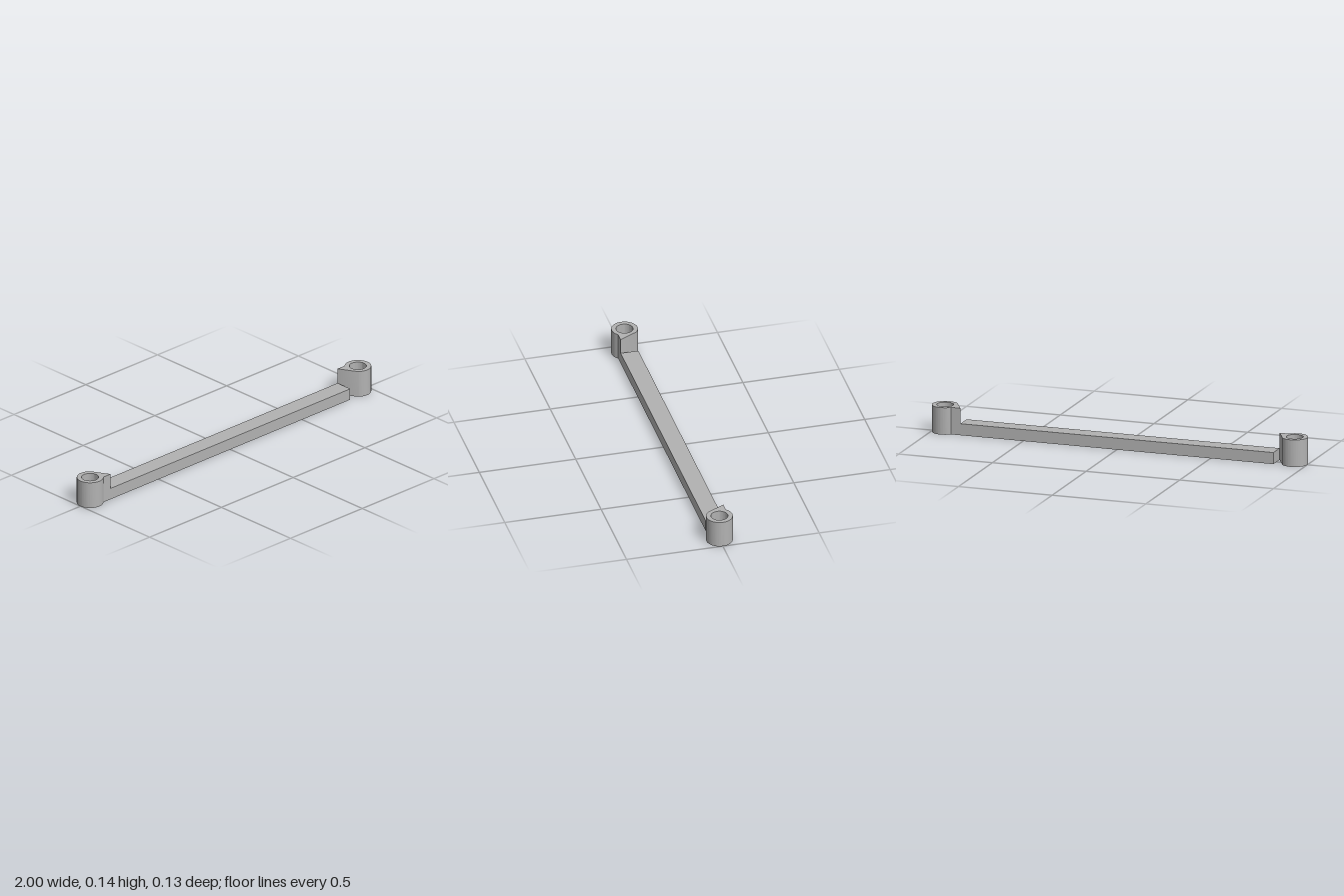
import * as THREE from 'three';
import { toCreasedNormals } from 'three/addons/utils/BufferGeometryUtils.js';

const HEIGHT = 0.14, BAR_HEIGHT = 0.06, HALF_WIDTH = 0.046;
const RING_X = 0.933, RING_R = 0.067, HOLE_R = 0.043, TAB_X = 0.835;

// Eyelet outline: round collar with a square tab pointing back along the bar
function eyeletGeometry() {
  const a = Math.asin(HALF_WIDTH / RING_R);
  const shape = new THREE.Shape();
  shape.moveTo(TAB_X, -HALF_WIDTH);
  shape.absarc(RING_X, 0, RING_R, Math.PI + a, 3 * Math.PI - a, false);
  shape.lineTo(TAB_X, HALF_WIDTH);
  shape.closePath();
  const hole = new THREE.Path();
  hole.absarc(RING_X, 0, HOLE_R, 0, Math.PI * 2, true);
  shape.holes.push(hole);
  const geometry = new THREE.ExtrudeGeometry(shape, { depth: HEIGHT, bevelEnabled: false, curveSegments: 28 });
  geometry.rotateX(-Math.PI / 2);
  return toCreasedNormals(geometry, 0.5);
}

export function createModel() {
  const group = new THREE.Group();
  group.name = 'handleBar';
  const grey = new THREE.MeshStandardMaterial({ color: 0xb2b2b2 });
  grey.name = 'grey';

  // Low straight bar between the tabs
  const bar = new THREE.Mesh(new THREE.BoxGeometry(TAB_X * 2, BAR_HEIGHT, HALF_WIDTH * 2), grey);
  bar.name = 'bar';
  bar.position.y = BAR_HEIGHT / 2;
  group.add(bar);

  // Matching eyelets at both ends
  const geometry = eyeletGeometry();
  for (const [name, turn] of [['leftEyelet', 0], ['rightEyelet', Math.PI]]) {
    const eyelet = new THREE.Mesh(geometry, grey);
    eyelet.name = name;
    eyelet.rotation.y = turn;
    group.add(eyelet);
  }
  return group;
}
